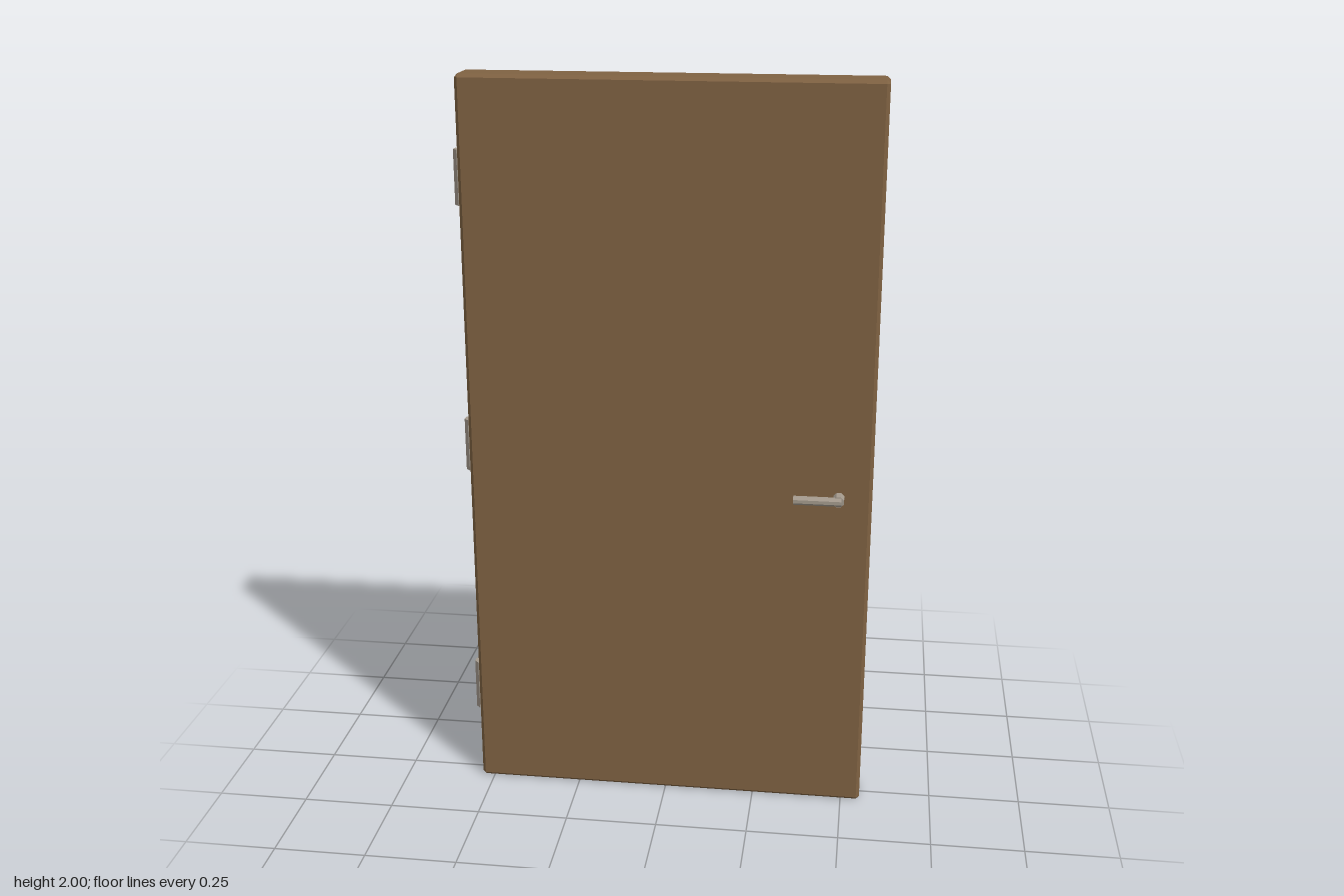
import * as THREE from 'three';
import { ConvexGeometry } from 'three/addons/geometries/ConvexGeometry.js';

const wood = new THREE.MeshStandardMaterial({ name: 'brown wood', color: 0x7f6242 });
const metal = new THREE.MeshStandardMaterial({ name: 'warm grey metal', color: 0xa49a8d });
metal.flatShading = true;

// Box with every edge cut by a flat chamfer
function chamferedBox(w, h, d, c) {
  const points = [];
  for (const x of [-w / 2, w / 2])
    for (const y of [-h / 2, h / 2])
      for (const z of [-d / 2, d / 2])
        for (let axis = 0; axis < 3; axis++) {
          const p = [x, y, z].map((v, i) => (i === axis ? v : v - Math.sign(v) * c));
          points.push(new THREE.Vector3(...p));
        }
  return new ConvexGeometry(points);
}

// Faceted metal rod along the y axis
function rod(name, radius, length) {
  const geometry = new THREE.CylinderGeometry(radius, radius, length, 8);
  geometry.rotateY(Math.PI / 8);
  const mesh = new THREE.Mesh(geometry, metal);
  mesh.name = name;
  return mesh;
}

export function createModel() {
  const model = new THREE.Group();
  model.name = 'door';

  // Door leaf
  const leaf = new THREE.Mesh(chamferedBox(1.088, 2, 0.104, 0.009), wood);
  leaf.name = 'doorLeaf';
  leaf.position.set(0.009, 1, 0);
  model.add(leaf);

  // Three hinge barrels, half sunk into the edge
  for (const y of [0.273, 1.003, 1.733]) {
    const hinge = rod('hinge', 0.0215, 0.145);
    hinge.position.set(-0.535, y, 0);
    model.add(hinge);
  }

  // A lever handle on each face
  for (const side of [1, -1]) {
    const handle = new THREE.Group();
    handle.name = side > 0 ? 'frontHandle' : 'backHandle';

    const stem = rod('handleStem', 0.0155, 0.045);
    stem.rotation.x = Math.PI / 2;
    stem.position.set(0.465, 0, side * 0.0625);

    const lever = rod('handleLever', 0.012, 0.127);
    lever.rotation.z = Math.PI / 2;
    lever.position.set(0.4095, 0, side * 0.084);

    handle.add(stem, lever);
    handle.position.y = 0.913;
    model.add(handle);
  }
  return model;
}
